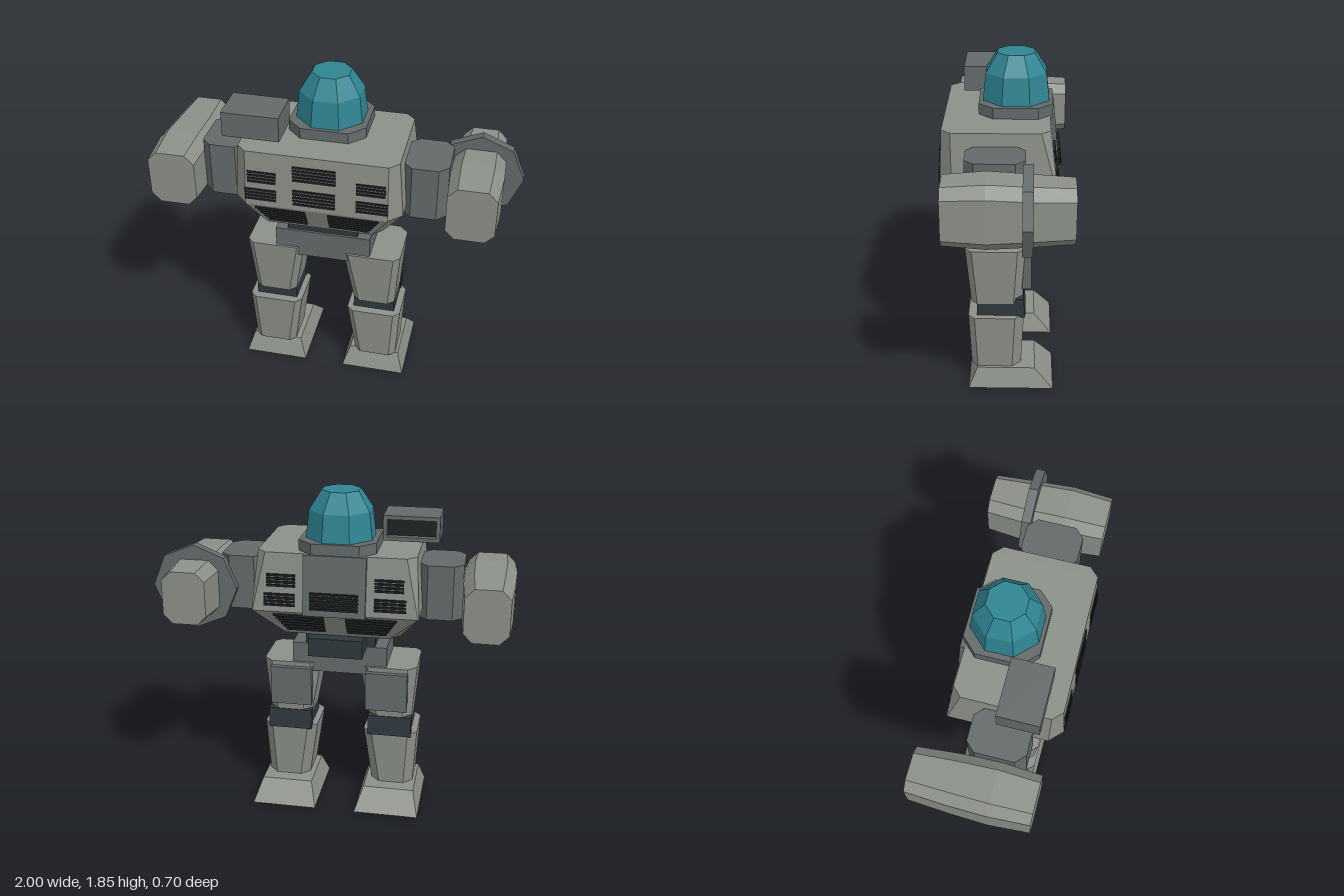
import * as THREE from 'three';

const paint = (color) => new THREE.MeshStandardMaterial({ color, flatShading: true });
const armour = paint(0x8b9088), frame = paint(0x646a6a), joint = paint(0x2f383d);
const dark = paint(0x1f2324), glass = paint(0x2f8593);

// Rectangle with cut corners at height y; c cuts the front corners, cb the back ones
function ring(y, x0, x1, z0, z1, c = 0, cb = c) {
  return [[x1 - c, z1], [x1, z1 - c], [x1, z0 + cb], [x1 - cb, z0],
    [x0 + cb, z0], [x0, z0 + cb], [x0, z1 - c], [x0 + c, z1]].map(([x, z]) => [x, y, z]);
}

// Skin a stack of rings, bottom to top, with closed ends
function loft(rings) {
  const pos = [];
  const tri = (...pts) => pts.forEach((p) => pos.push(...p));
  for (let k = 0; k + 1 < rings.length; k++) {
    for (let i = 0; i < 8; i++) {
      const j = (i + 1) % 8, lo = rings[k], up = rings[k + 1];
      tri(lo[i], lo[j], up[j]);
      tri(lo[i], up[j], up[i]);
    }
  }
  const bottom = rings[0], top = rings[rings.length - 1];
  for (let i = 1; i < 7; i++) {
    tri(top[0], top[i], top[i + 1]);
    tri(bottom[0], bottom[i + 1], bottom[i]);
  }
  const geo = new THREE.BufferGeometry();
  geo.setAttribute('position', new THREE.Float32BufferAttribute(pos, 3));
  geo.computeVertexNormals();
  return geo;
}

function add(parent, name, geo, mat) {
  const mesh = new THREE.Mesh(geo, mat);
  mesh.name = name;
  parent.add(mesh);
  return mesh;
}

// Box given by its limits
function block(parent, name, x0, x1, y0, y1, z0, z1, mat) {
  const geo = new THREE.BoxGeometry(x1 - x0, y1 - y0, z1 - z0);
  geo.translate((x0 + x1) / 2, (y0 + y1) / 2, (z0 + z1) / 2);
  return add(parent, name, geo, mat);
}

// Depth of the torso's front or back surface at height y
function torsoZ(y, side) {
  const [top, mid, low] = side > 0 ? [0.33, 0.345, 0.27] : [-0.24, -0.28, -0.18];
  return y > 1.21
    ? THREE.MathUtils.mapLinear(y, 1.21, 1.53, mid, top)
    : THREE.MathUtils.mapLinear(y, 1.055, 1.21, low, mid);
}

// Stack of dark slats lying on the torso; taper narrows the outer end downwards
function vent(parent, side, x0, x1, y0, y1, count, lift = 0, taper = 0) {
  const step = (y1 - y0) / count;
  for (let i = 0; i < count; i++) {
    const y = y0 + (i + 0.5) * step;
    const z = torsoZ(y, side) + side * lift;
    const cut = taper * (1 - i / (count - 1));
    const a = x0 < 0 && x1 < 0 ? x0 + cut : x0;
    const b = x0 > 0 && x1 > 0 ? x1 - cut : x1;
    block(parent, 'ventSlat', a, b, y - step * 0.3, y + step * 0.3, z - 0.012, z + 0.006, dark);
  }
}

function buildTorso(body) {
  add(body, 'torso', loft([
    ring(1.055, -0.34, 0.34, -0.18, 0.27, 0.05),
    ring(1.21, -0.455, 0.455, -0.28, 0.345, 0.07, 0.005),
    ring(1.53, -0.43, 0.43, -0.24, 0.33, 0.05),
  ]), armour);

  // Back panel with its own slats
  const panel = add(body, 'backPanel', loft([
    ring(1.2, -0.17, 0.17, -0.295, -0.24),
    ring(1.53, -0.17, 0.17, -0.265, -0.21),
  ]), frame);
  panel.name = 'backPanel';
  vent(body, -1, -0.13, 0.13, 1.235, 1.335, 5, 0.02);

  // Cooling vents, front and back
  vent(body, 1, -0.125, 0.105, 1.38, 1.475, 5);
  vent(body, 1, -0.125, 0.105, 1.235, 1.335, 5);
  for (const side of [1, -1]) {
    for (const s of [1, -1]) {
      const pair = (a, b) => (s > 0 ? [a, b] : [-b, -a]);
      vent(body, side, ...pair(0.215, 0.37), 1.345, 1.42, 4);
      vent(body, side, ...pair(0.215, 0.385), 1.24, 1.315, 4);
      vent(body, side, ...pair(0.06, 0.335), 1.08, 1.2, 6, 0.002, 0.06);
    }
  }

  // Collar and faceted dome
  add(body, 'collar', loft([
    ring(1.5, -0.21, 0.21, -0.255, 0.145, 0.08),
    ring(1.59, -0.21, 0.21, -0.255, 0.145, 0.08),
  ]), frame);
  const dome = [[1.59, 0.18], [1.74, 0.163], [1.845, 0.1]];
  add(body, 'canopyDome', loft(dome.map(([y, r]) =>
    ring(y, -r, r, -0.055 - r, -0.055 + r, r * 0.586))), glass);

  // Waist and pelvis
  block(body, 'waist', -0.2, 0.195, 0.95, 1.07, -0.09, 0.19, joint);
  block(body, 'waistBlock', -0.15, 0.15, 0.95, 1.055, -0.25, -0.08, joint);
  block(body, 'pelvis', -0.268, 0.268, 0.8, 0.967, -0.105, 0.203, frame);
}

// Hollow box launcher on one shoulder, open at the back
function buildLauncher(body) {
  const launcher = new THREE.Group();
  launcher.name = 'launcher';
  const w = 0.155, h = 0.07, rim = 0.022;
  const rect = (P, a, b) => new P([[-a, -b], [a, -b], [a, b], [-a, b]].map((p) => new THREE.Vector2(...p)));
  const shape = rect(THREE.Shape, w, h);
  shape.holes.push(rect(THREE.Path, w - rim, h - rim));
  add(launcher, 'launcherShell', new THREE.ExtrudeGeometry(shape, { depth: 0.22, bevelEnabled: false }), frame);
  block(launcher, 'launcherCore', rim - w, w - rim, rim - h, h - rim, 0.04, 0.21, dark);
  block(launcher, 'launcherFront', -w, w, -h, h, 0.21, 0.222, frame);
  launcher.position.set(-0.372, 1.62, 0.02);
  body.add(launcher);
}

function buildArm(body, s) {
  const arm = new THREE.Group();
  arm.name = s > 0 ? 'leftArm' : 'rightArm';
  const r = (y, a, b, ...rest) => (s > 0 ? ring(y, a, b, ...rest) : ring(y, -b, -a, ...rest));
  add(arm, 'upperArm', loft([
    r(1.155, 0.43, 0.67, -0.11, 0.2, 0.05),
    r(1.46, 0.43, 0.67, -0.11, 0.2, 0.05),
  ]), frame);
  // Forearm runs along z, so it is lofted upright and tipped over
  add(arm, 'forearm', loft([
    r(-0.355, 0.69, 0.93, -1.425, -1.13, 0.05),
    r(-0.13, 0.672, 0.945, -1.435, -1.115, 0.055),
    r(0.08, 0.668, 0.952, -1.447, -1.105, 0.055),
    r(0.3, 0.68, 0.94, -1.43, -1.12, 0.05),
  ]).rotateX(Math.PI / 2), armour);
  body.add(arm);
}

function buildLeg(body, s) {
  const leg = new THREE.Group();
  leg.name = s > 0 ? 'leftLeg' : 'rightLeg';
  const r = (y, a, b, ...rest) => (s > 0 ? ring(y, a, b, ...rest) : ring(y, -b, -a, ...rest));
  const tower = (name, mat, ...rings) => add(leg, name, loft(rings.map((q) => r(...q))), mat);
  tower('foot', armour, [0, 0.115, 0.482, -0.275, 0.205], [0.115, 0.155, 0.445, -0.17, 0.155]);
  tower('shin', armour, [0.115, 0.185, 0.428, -0.092, 0.188, 0.035, 0.05],
    [0.44, 0.138, 0.447, -0.107, 0.203, 0.035, 0.05]);
  tower('kneeJoint', joint, [0.43, 0.172, 0.41, -0.1, 0.155], [0.525, 0.172, 0.41, -0.1, 0.155]);
  tower('kneeGuard', joint, [0.43, 0.165, 0.415, -0.115, -0.06], [0.545, 0.165, 0.415, -0.105, -0.06]);
  tower('thigh', armour, [0.513, 0.172, 0.41, -0.098, 0.188, 0.035, 0.05],
    [0.852, 0.112, 0.438, -0.12, 0.216, 0.035, 0.05]);
  tower('thighPlate', frame, [0.6, 0.155, 0.39, -0.147, -0.095], [0.825, 0.155, 0.39, -0.147, -0.11]);
  body.add(leg);
}

export function createModel() {
  const model = new THREE.Group();
  model.name = 'walker';
  // The shield widens one side, so the symmetric body sits off centre
  const body = new THREE.Group();
  body.name = 'body';
  body.position.x = -0.05;
  model.add(body);

  buildTorso(body);
  buildLauncher(body);
  for (const s of [1, -1]) {
    buildArm(body, s);
    buildLeg(body, s);
  }

  // Eight-sided shield around the left forearm
  const shield = add(body, 'shield', new THREE.CylinderGeometry(0.24, 0.24, 0.052, 8).rotateX(Math.PI / 2), frame);
  shield.position.set(0.81, 1.28, -0.122);
  return model;
}
